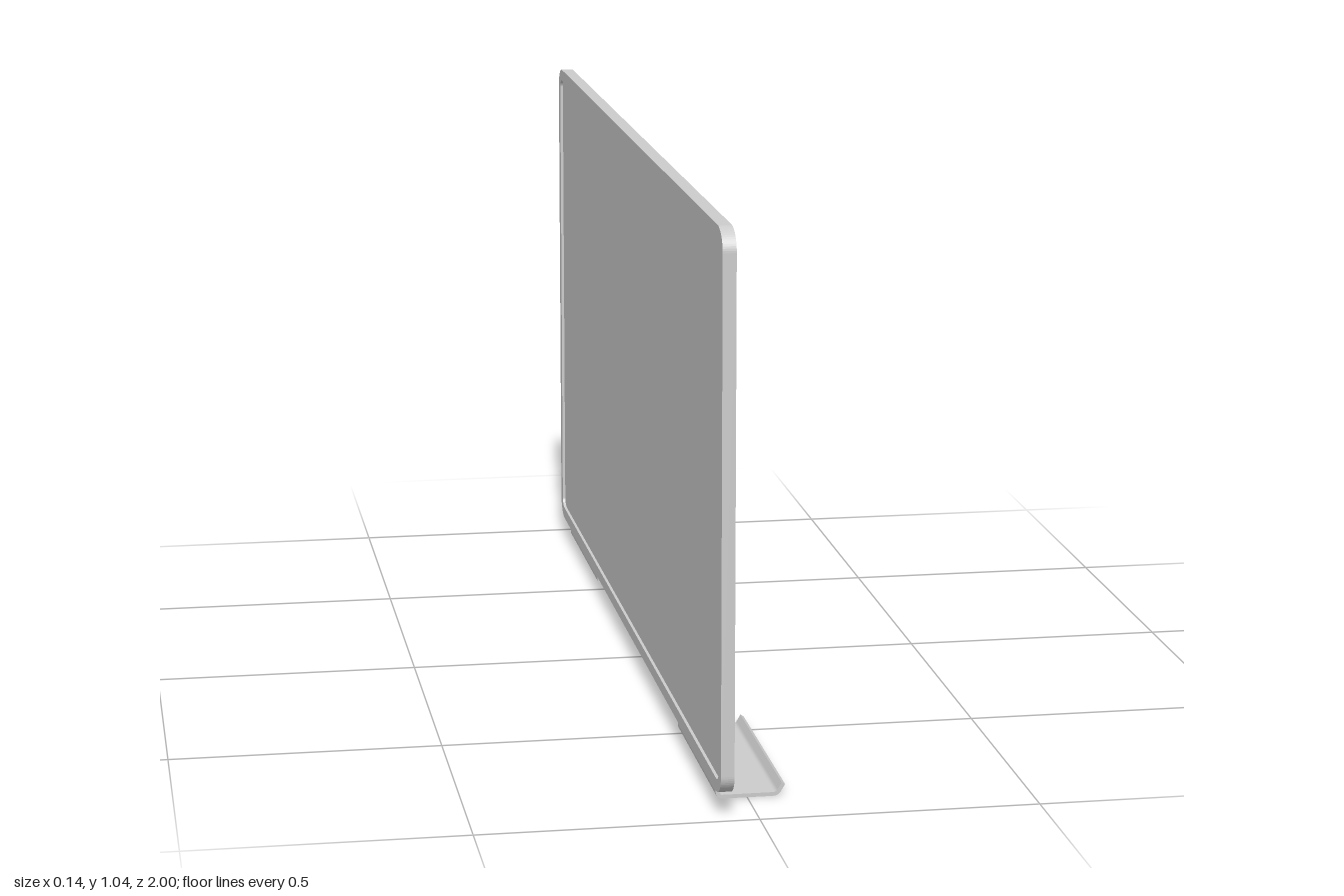
import * as THREE from 'three';

const material = new THREE.MeshStandardMaterial({ color: 0xcccccc });

// Rectangle with quarter-ellipse corners, centred on the origin
function roundedRect(target, hw, hh, rx, ry) {
  const corners = [[1, -1, -Math.PI / 2], [1, 1, 0], [-1, 1, Math.PI / 2], [-1, -1, Math.PI]];
  for (const [sx, sy, start] of corners) {
    target.absellipse(sx * (hw - rx), sy * (hh - ry), rx, ry, start, start + Math.PI / 2, false, 0);
  }
  target.closePath();
  return target;
}

// Closed strip of constant thickness around a centre line
function stripShape(points, thickness) {
  const sides = [[], []];
  points.forEach((p, i) => {
    const a = points[Math.max(i - 1, 0)];
    const b = points[Math.min(i + 1, points.length - 1)];
    const n = new THREE.Vector2(a.y - b.y, b.x - a.x).normalize().multiplyScalar(thickness / 2);
    sides[0].push(p.clone().sub(n));
    sides[1].push(p.clone().add(n));
  });
  return new THREE.Shape([...sides[0], ...sides[1].reverse()]);
}

function addMesh(group, name, geometry) {
  const mesh = new THREE.Mesh(geometry, material);
  mesh.name = name;
  group.add(mesh);
  return mesh;
}

// Slab of the given shape, standing in the YZ plane
function standingSlab(shape, depth) {
  const g = new THREE.ExtrudeGeometry(shape, { depth, bevelEnabled: false, curveSegments: 8 });
  return g.translate(0, 0, -depth / 2).rotateY(Math.PI / 2);
}

export function createModel() {
  const model = new THREE.Group();
  model.name = 'whiteboard';
  const boardX = -0.057, boardY = 0.54;

  // Rim around the board
  const rim = roundedRect(new THREE.Shape(), 1, 0.5, 0.05, 0.04);
  rim.holes.push(roundedRect(new THREE.Path(), 0.977, 0.477, 0.027, 0.017));
  addMesh(model, 'frame', standingSlab(rim, 0.024)).position.set(boardX, boardY, 0);

  // Writing surface, recessed on both sides
  const panel = roundedRect(new THREE.Shape(), 0.98, 0.48, 0.03, 0.02);
  addMesh(model, 'writingPanel', standingSlab(panel, 0.013)).position.set(boardX, boardY, 0);

  // Bent sheet trays: hanger, rounded bend, shelf and upturned lip
  const path = new THREE.Path();
  path.moveTo(-0.053, 0.05);
  path.lineTo(-0.053, 0.014);
  path.quadraticCurveTo(-0.053, 0.005, -0.044, 0.005);
  path.lineTo(0.046, 0.005);
  path.quadraticCurveTo(0.054, 0.005, 0.058, 0.012);
  path.lineTo(0.065, 0.024);
  const profile = stripShape(path.getPoints(6), 0.007);
  const length = 0.4;
  for (const [name, z] of [['frontTray', 0.48], ['backTray', -0.94]]) {
    const g = new THREE.ExtrudeGeometry(profile, { depth: length, bevelEnabled: false });
    addMesh(model, name, g).position.set(0, -0.0015, z);
  }
  return model;
}
